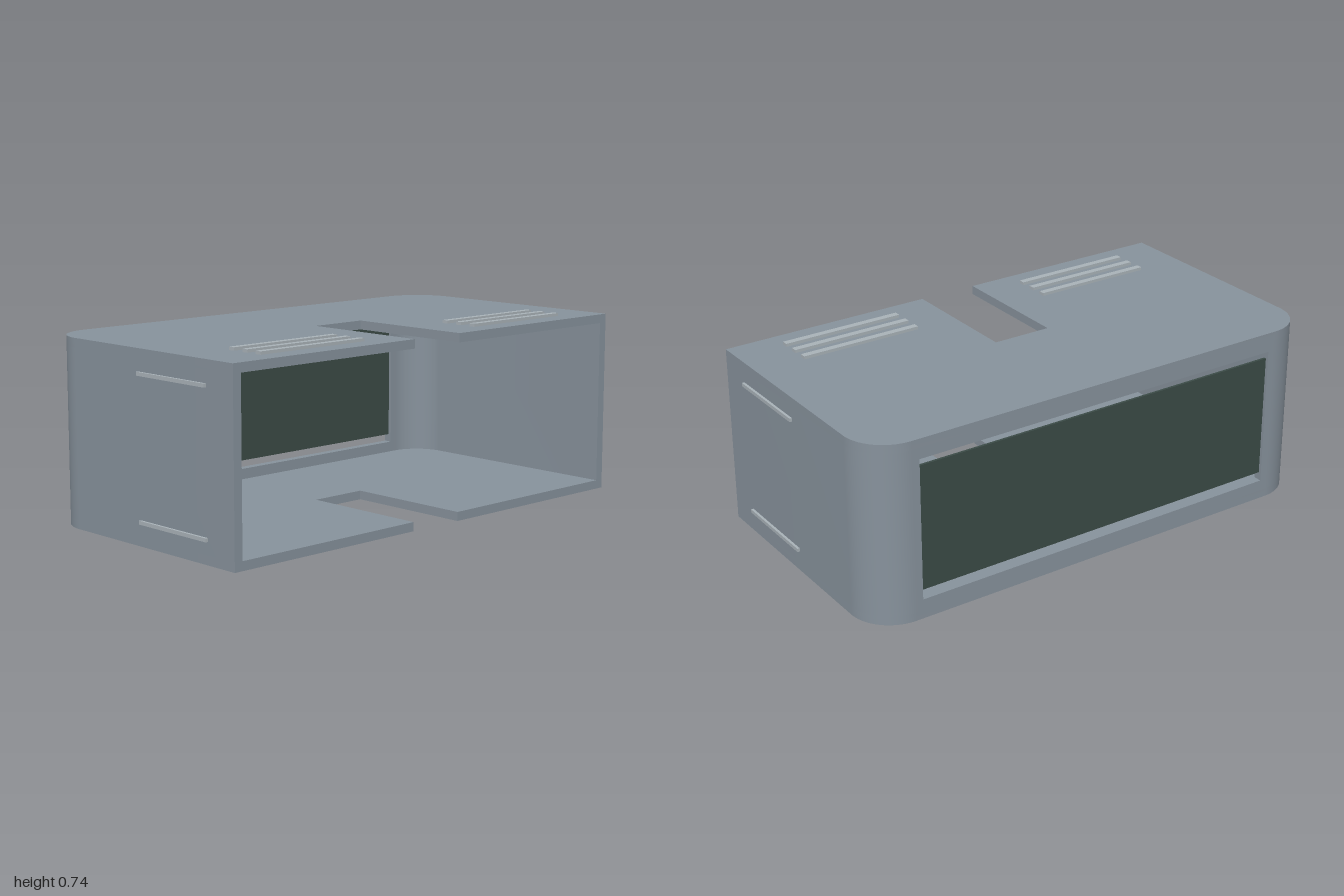
import * as THREE from 'three';
import { toCreasedNormals } from 'three/addons/utils/BufferGeometryUtils.js';

const W = 0.99, D = 0.525;            // half width, half depth of the shell
const BOTTOM = 0.012, TOP = 0.728, T = 0.035;
const R = 0.17, CX = W - R, CZ = -D + R; // rear corner radius and centre
const WIN = 0.79, SILL = 0.09, HEAD = 0.65; // window opening
const NOTCH = 0.12;

export function createModel() {
  const group = new THREE.Group();
  const shellMat = new THREE.MeshStandardMaterial({ color: 0x87929c });
  const ribMat = new THREE.MeshStandardMaterial({ color: 0xa9b2b8 });
  const glassMat = new THREE.MeshStandardMaterial({ color: 0x3b4b46 });

  const add = (name, geometry, material) => {
    const mesh = new THREE.Mesh(geometry, material);
    mesh.name = name;
    group.add(mesh);
    return mesh;
  };
  const box = (name, mat, x0, x1, y0, y1, z0, z1) =>
    add(name, new THREE.BoxGeometry(x1 - x0, y1 - y0, z1 - z0), mat)
      .position.set((x0 + x1) / 2, (y0 + y1) / 2, (z0 + z1) / 2);

  // Extrude an outline of [x, z] points between two heights
  const slab = (name, points, y0, y1) => {
    const shape = new THREE.Shape(points.map(([x, z]) => new THREE.Vector2(x, z)));
    const geo = new THREE.ExtrudeGeometry(shape, { depth: y1 - y0, bevelEnabled: false });
    geo.rotateX(Math.PI / 2).translate(0, y1, 0);
    add(name, toCreasedNormals(geo, 0.5), shellMat);
  };

  // Rear corner arc on side s, running from the side to the back
  const arc = (s, r) => Array.from({ length: 25 }, (_, i) => {
    const a = (i / 24) * Math.PI / 2;
    return [s * (CX + r * Math.cos(a)), CZ - r * Math.sin(a)];
  });

  // Top and bottom plates with a notch at the front
  const plate = [
    [NOTCH, 0], [NOTCH, D], [W, D], ...arc(1, R),
    ...arc(-1, R).reverse(), [-W, D], [-NOTCH, D], [-NOTCH, 0],
  ];
  slab('bottomPlate', plate, BOTTOM, BOTTOM + T);
  slab('topPlate', plate, TOP - T, TOP);

  for (const s of [1, -1]) {
    const side = s > 0 ? 'left' : 'right';

    // Side wall wrapping round the rear corner up to the window
    slab(side + 'Wall', [
      [s * W, D], ...arc(s, R), [s * WIN, -D], [s * WIN, -D + T],
      ...arc(s, R - T).reverse(), [s * (W - T), D],
    ], BOTTOM + T, TOP - T);

    // Thin ribs on the side wall
    for (const y of [0.102, 0.638]) {
      const x = [s * (W - 0.005), s * 1.0].sort((a, b) => a - b);
      box(side + 'SideRib', ribMat, x[0], x[1], y - 0.007, y + 0.007, 0.016, 0.385);
    }

    // Three ribs above and below
    const rx = [s * 0.295, s * 0.792].sort((a, b) => a - b);
    for (const z of [0.288, 0.358, 0.428]) {
      box(side + 'TopRib', ribMat, rx[0], rx[1], TOP - 0.005, 0.74, z - 0.013, z + 0.013);
      box(side + 'BottomRib', ribMat, rx[0], rx[1], 0, BOTTOM + 0.005, z - 0.013, z + 0.013);
    }
  }

  // Rear window rails and the pane, with a gap above and below it
  box('windowSill', shellMat, -WIN, WIN, BOTTOM + T, SILL, -D, -D + T);
  box('windowHead', shellMat, -WIN, WIN, HEAD, TOP - T, -D, -D + T);
  box('windowPane', glassMat, -WIN, WIN, 0.122, 0.618, -D + 0.012, -D + 0.022);

  return group;
}
